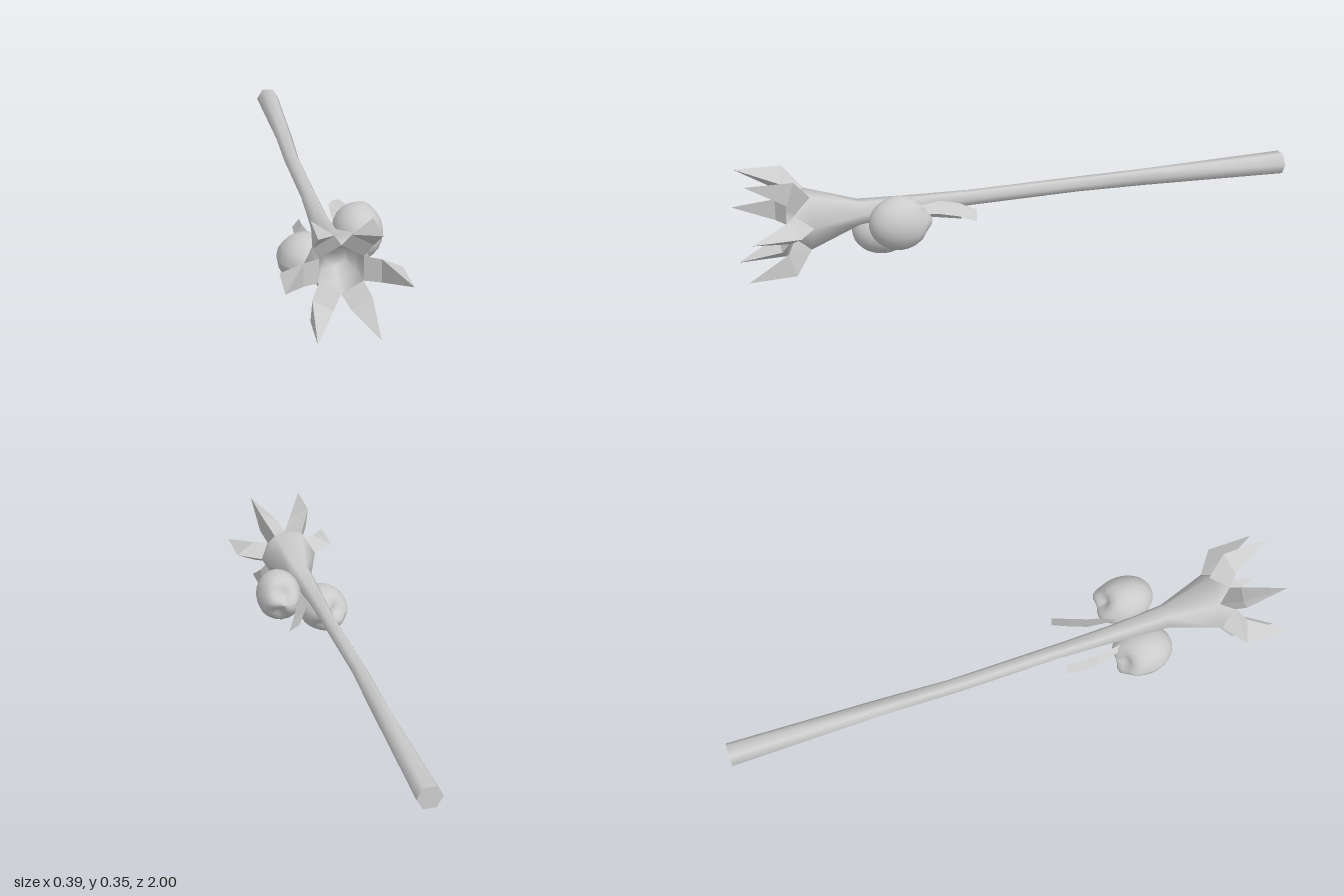
import * as THREE from 'three';

const material = new THREE.MeshStandardMaterial({ color: 0xcccccc, side: THREE.DoubleSide });
const AXIS_Y = 0.18;

// Point at a polar position around the staff axis
const polar = (deg, r, z, x = 0, y = AXIS_Y) => {
  const a = THREE.MathUtils.degToRad(deg);
  return [x + r * Math.cos(a), y + r * Math.sin(a), z];
};

function mesh(name, points, index, flat = false) {
  let g = new THREE.BufferGeometry();
  g.setAttribute('position', new THREE.Float32BufferAttribute(points.flat(), 3));
  g.setIndex(index);
  if (flat) g = g.toNonIndexed();
  g.computeVertexNormals();
  const m = new THREE.Mesh(g, material);
  m.name = name;
  return m;
}

// Quads between consecutive six-sided rings
function ringFaces(rings) {
  const index = [];
  for (let i = 0; i < rings - 1; i++) {
    for (let k = 0; k < 6; k++) {
      const a = i * 6 + k, b = i * 6 + (k + 1) % 6;
      index.push(a, b, b + 6, a, b + 6, a + 6);
    }
  }
  return index;
}

// Six-sided, slightly crooked shaft that flares into the head
function shaft() {
  const sections = [ // z, radius, x, y
    [-1, 0.043, -0.002, 0.18], [-0.45, 0.03, -0.005, 0.184], [-0.2, 0.027, -0.012, 0.184],
    [0.2, 0.027, -0.006, 0.184], [0.4, 0.033, -0.006, 0.184],
    [0.6, 0.045, -0.002, 0.182], [0.777, 0.107, 0, AXIS_Y],
  ];
  const points = [];
  for (const [z, r, x, y] of sections) {
    for (let k = 0; k < 6; k++) points.push(polar(k * 60, r, z, x, y));
  }
  const index = ringFaces(sections.length);
  const last = (sections.length - 1) * 6, rim = points.length;
  for (let k = 0; k < 6; k++) {
    points.push(polar(k * 60 + 30, 0.08, 0.835));
    index.push(last + k, last + (k + 1) % 6, rim + k);
  }
  return mesh('shaft', points, index);
}

function endCap() {
  const points = [[-0.002, 0.18, -1]], index = [];
  for (let k = 0; k < 6; k++) {
    points.push(polar(k * 60, 0.043, -1, -0.002));
    index.push(0, 1 + (k + 1) % 6, 1 + k);
  }
  return mesh('endCap', points, index, true);
}

// Hollow inside the flared head
function bowl() {
  const points = [], index = [];
  for (const [r, z] of [[0.08, 0.835], [0.062, 0.77], [0.035, 0.72]]) {
    for (let k = 0; k < 6; k++) points.push(polar(k * 60 + 30, r, z));
  }
  index.push(...ringFaces(3).reverse().map((v) => v));
  points.push([0, AXIS_Y, 0.7]);
  for (let k = 0; k < 6; k++) index.push(18, 12 + k, 12 + (k + 1) % 6);
  return mesh('bowl', points, index);
}

// Bent prong with a triangular section: broad inner face, ridge outside
function prong(deg) {
  const mid = (side) => {
    const [x, y] = [0.12, side * 0.038], a = THREE.MathUtils.degToRad(deg);
    return [x * Math.cos(a) - y * Math.sin(a), AXIS_Y + x * Math.sin(a) + y * Math.cos(a), 0.862];
  };
  const points = [
    polar(deg - 30, 0.08, 0.835), polar(deg, 0.107, 0.777), polar(deg + 30, 0.08, 0.835),
    mid(-1), polar(deg, 0.19, 0.838), mid(1),
    polar(deg, 0.193, 1),
  ];
  const index = [];
  for (let k = 0; k < 3; k++) {
    const n = (k + 1) % 3;
    index.push(k, n, n + 3, k, n + 3, k + 3, k + 3, n + 3, 6);
  }
  return mesh('prong', points, index, true);
}

// Rounded skull: crown towards +z, face sunken on the -z side, jaw on its outer edge
function skull(name, center, radii, out) {
  const g = new THREE.SphereGeometry(1, 20, 16);
  g.rotateX(Math.PI / 2);
  const p = g.attributes.position;
  const o = new THREE.Vector3(out[0], out[1], 0).normalize();
  const s = new THREE.Vector3(-o.y, o.x, 0);
  const at = (a, b, c) => o.clone().multiplyScalar(a).addScaledVector(s, b)
    .add(new THREE.Vector3(0, 0, c)).normalize();
  const bumps = [ // direction, sharpness, height
    [at(0.15, 0.5, -0.85), 14, -0.3], [at(0.15, -0.5, -0.85), 14, -0.3], // eye sockets
    [at(0.5, 0, -0.85), 22, 0.16],                                       // jaw
    [at(-0.5, 0, -0.9), 10, 0.08],                                       // brow
    [at(0.55, 0.55, -0.55), 18, 0.1], [at(0.55, -0.55, -0.55), 18, 0.1], // cheeks
  ];
  const v = new THREE.Vector3();
  for (let i = 0; i < p.count; i++) {
    v.fromBufferAttribute(p, i).normalize();
    let r = 1;
    for (const [d, k, h] of bumps) r += h * Math.exp(-k * (1 - v.dot(d)));
    p.setXYZ(i, v.x * r * radii[0], v.y * r * radii[1], v.z * r * radii[2]);
  }
  g.computeVertexNormals();
  const m = new THREE.Mesh(g, material);
  m.name = name;
  m.position.set(...center);
  return m;
}

// Thin strip following a path, widened along one direction
function feather(name, path, width) {
  const points = [], index = [];
  path.forEach(([x, y, z, w], i) => {
    for (const e of [-0.5, 0.5]) {
      points.push([x + width[0] * w * e, y + width[1] * w * e, z + width[2] * w * e]);
    }
    if (i) index.push(2 * i - 2, 2 * i - 1, 2 * i + 1, 2 * i - 2, 2 * i + 1, 2 * i);
  });
  return mesh(name, points, index, true);
}

export function createModel() {
  const group = new THREE.Group();
  group.name = 'staff';
  group.add(shaft(), endCap(), bowl());

  const prongs = new THREE.Group();
  prongs.name = 'prongs';
  for (let k = 0; k < 6; k++) prongs.add(prong(k * 60));
  group.add(prongs);

  group.add(
    skull('leftSkull', [0.11, 0.167, 0.485], [0.083, 0.093, 0.106], [1, 0.3]),
    skull('rightSkull', [-0.063, 0.086, 0.5], [0.091, 0.085, 0.108], [-0.8, -0.6]),
    feather('leftFeather',
      [[0.045, 0.18, 0.43, 0.5], [0.06, 0.185, 0.33, 1.1], [0.085, 0.178, 0.27, 1.1], [0.115, 0.16, 0.215, 1]],
      [0.036, -0.03, 0.012]),
    feather('rightFeather',
      [[-0.045, 0.135, 0.43, 0.5], [-0.062, 0.12, 0.33, 1], [-0.055, 0.1, 0.215, 0.9]],
      [0.026, 0.032, 0]),
  );
  return group;
}
